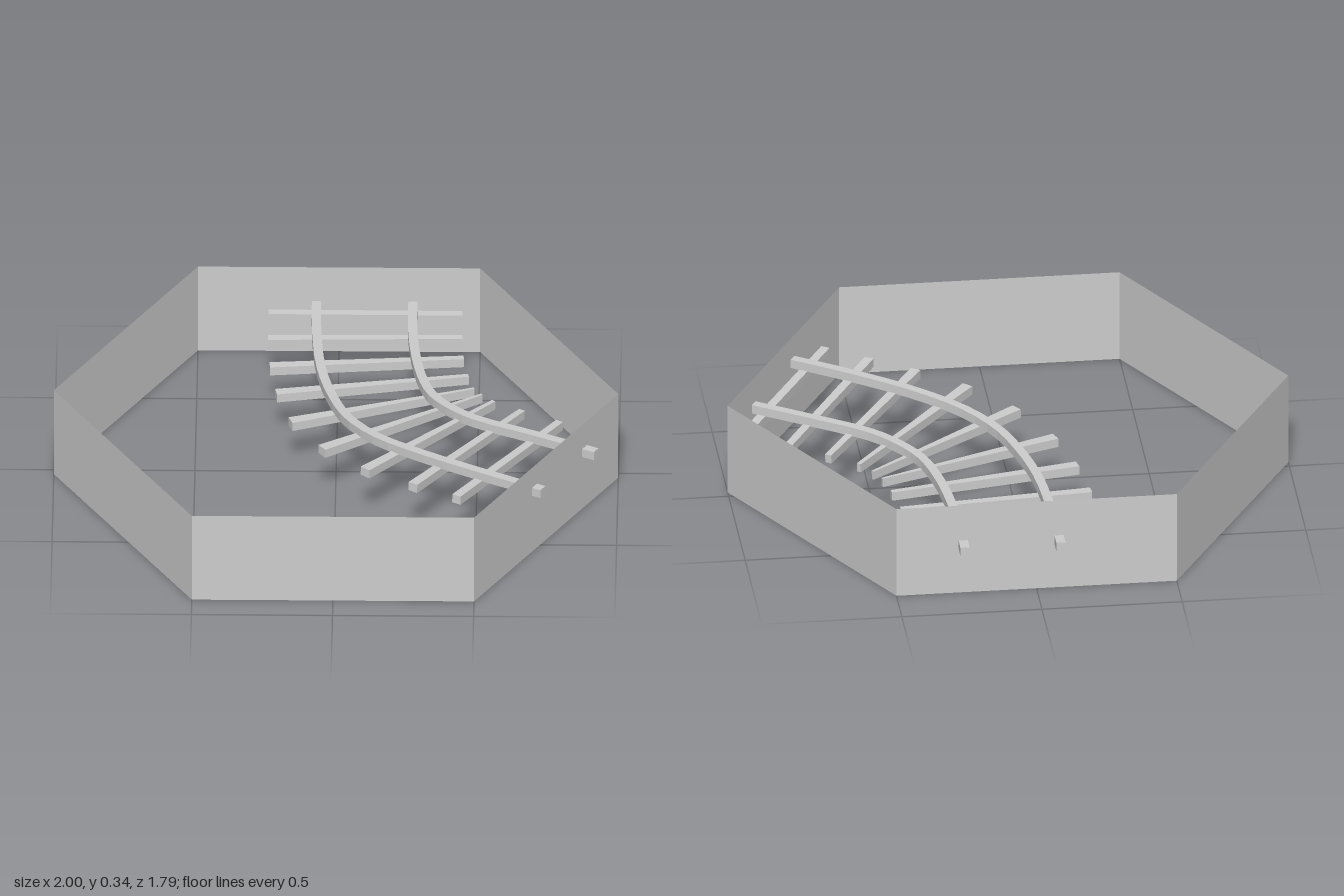
import * as THREE from 'three';

const UP = new THREE.Vector3(0, 1, 0);

// Flat-faced rectangular bar through a list of points, with a width at each point
function bar(points, widths, height) {
  const rings = points.map((p, k) => {
    const a = points[Math.max(k - 1, 0)], b = points[Math.min(k + 1, points.length - 1)];
    const dir = b.clone().sub(a).normalize();
    const side = dir.clone().cross(UP).normalize();
    const up = side.clone().cross(dir);
    return [[-1, -1], [1, -1], [1, 1], [-1, 1]].map(([s, u]) => p.clone()
      .addScaledVector(side, s * widths[k] / 2).addScaledVector(up, u * height / 2));
  });
  const pos = [];
  const quad = (a, b, c, d) => [a, b, c, a, c, d].forEach(v => pos.push(v.x, v.y, v.z));
  quad(...rings[0]);
  quad(...[...rings[rings.length - 1]].reverse());
  for (let k = 0; k < rings.length - 1; k++) {
    for (let i = 0; i < 4; i++) {
      const j = (i + 1) % 4;
      quad(rings[k][i], rings[k + 1][i], rings[k + 1][j], rings[k][j]);
    }
  }
  const g = new THREE.BufferGeometry();
  g.setAttribute('position', new THREE.Float32BufferAttribute(pos, 3));
  g.computeVertexNormals();
  return g;
}

export function createModel() {
  const model = new THREE.Group();
  model.name = 'hexTrackTile';
  const grey = new THREE.MeshStandardMaterial({ color: 0xcccccc, side: THREE.DoubleSide });
  grey.name = 'light grey';

  const add = (name, geometry, parent = model) => {
    const m = new THREE.Mesh(geometry, grey);
    m.name = name;
    parent.add(m);
    return m;
  };

  // Thin hexagonal wall, open above and below
  const wall = new THREE.CylinderGeometry(1, 1, 0.345, 6, 1, true, Math.PI / 6).toNonIndexed();
  wall.computeVertexNormals();
  add('hexWall', wall).position.set(0, 0.1725, 0.03);

  // Two rails that bend through sixty degrees while climbing
  const rails = {
    outerRail: [[-0.08, 0.19, -0.893], [-0.08, 0.19, -0.8], [-0.075, 0.192, -0.585],
      [-0.058, 0.195, -0.37], [-0.02, 0.199, -0.185], [0.04, 0.206, -0.013],
      [0.144, 0.217, 0.136], [0.3, 0.23, 0.27], [0.513, 0.24, 0.414], [0.74, 0.247, 0.55]],
    innerRail: [[0.262, 0.19, -0.893], [0.262, 0.19, -0.69], [0.272, 0.192, -0.505],
      [0.298, 0.196, -0.318], [0.337, 0.2, -0.185], [0.4, 0.206, -0.088],
      [0.492, 0.213, 0.003], [0.7, 0.223, 0.126], [0.925, 0.23, 0.256]],
  };
  for (const [name, pts] of Object.entries(rails)) {
    const path = new THREE.CatmullRomCurve3(pts.map(p => new THREE.Vector3(...p)));
    const samples = path.getPoints(24);
    add(name, bar(samples, samples.map(() => 0.033), 0.033));
  }

  // Sleepers fan around the bend and taper inward: outer x, y, z, width, inner x, y, z, width
  const sleepers = new THREE.Group();
  sleepers.name = 'sleepers';
  model.add(sleepers);
  [
    [-0.25, 0.158, -0.813, 0.032, 0.437, 0.158, -0.81, 0.032],
    [-0.25, 0.158, -0.634, 0.034, 0.44, 0.158, -0.647, 0.028],
    [-0.241, 0.16, -0.441, 0.037, 0.446, 0.159, -0.503, 0.025],
    [-0.216, 0.165, -0.246, 0.04, 0.464, 0.162, -0.374, 0.02],
    [-0.162, 0.172, -0.037, 0.043, 0.485, 0.166, -0.278, 0.01],
    [-0.048, 0.186, 0.174, 0.043, 0.513, 0.171, -0.228, 0.01],
    [0.107, 0.2, 0.342, 0.041, 0.556, 0.176, -0.175, 0.016],
    [0.278, 0.211, 0.463, 0.037, 0.657, 0.181, -0.104, 0.024],
    [0.433, 0.218, 0.556, 0.034, 0.791, 0.185, -0.021, 0.029],
    [0.578, 0.222, 0.649, 0.032, 0.941, 0.188, 0.07, 0.032],
  ].forEach(([ox, oy, oz, ow, ix, iy, iz, iw], i) => {
    const ends = [new THREE.Vector3(ox, oy, oz), new THREE.Vector3(ix, iy, iz)];
    add('sleeper' + (i + 1), bar(ends, [ow, iw], 0.033), sleepers);
  });

  return model;
}
